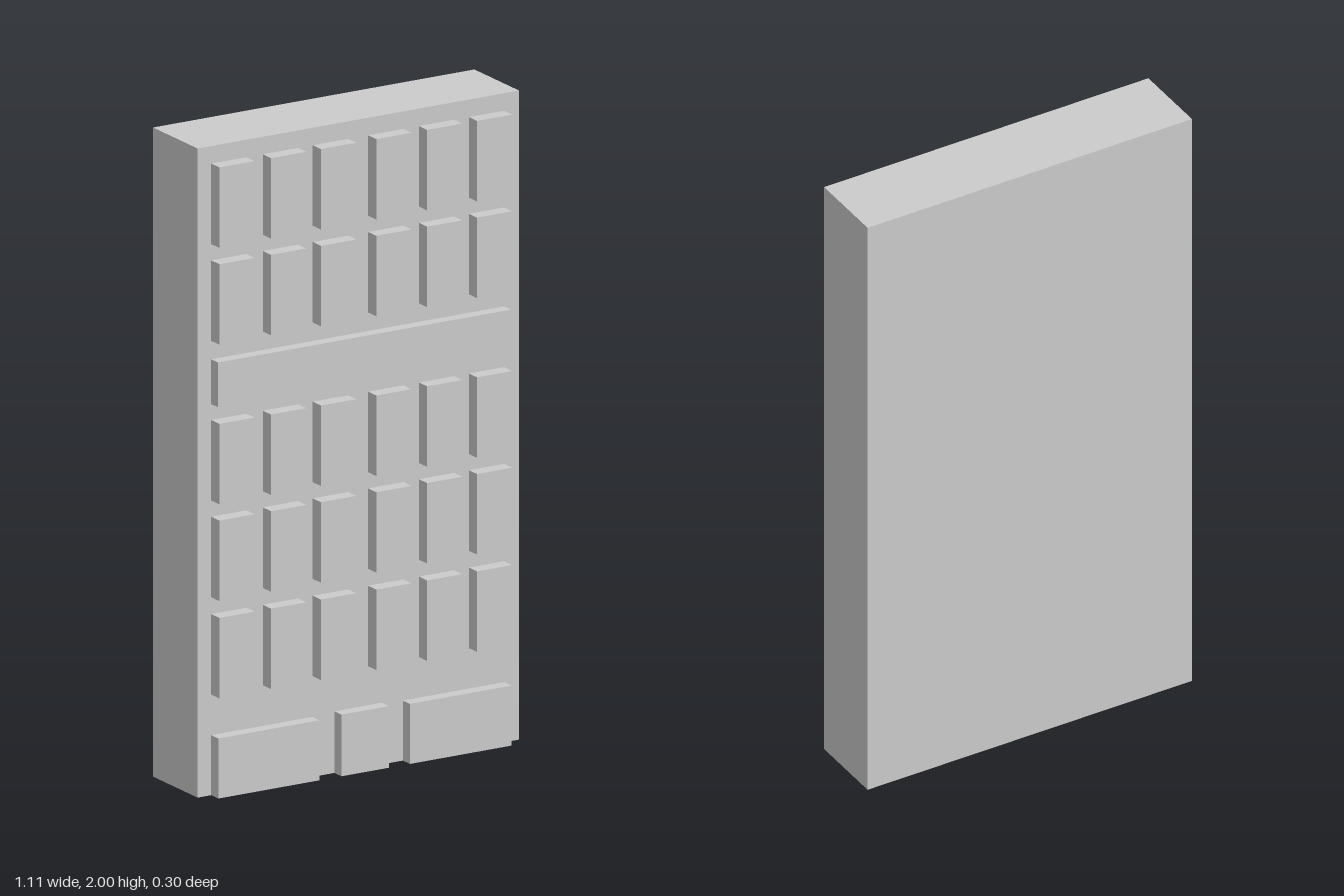
import * as THREE from 'three';

const BACK = -0.148, WALL = 0.102;

export function createModel() {
  const group = new THREE.Group();
  const material = new THREE.MeshStandardMaterial({ color: 0xcccccc, flatShading: true });

  // Box given by its extents along each axis
  function block(name, x0, x1, y0, y1, z0, z1) {
    const mesh = new THREE.Mesh(new THREE.BoxGeometry(x1 - x0, y1 - y0, z1 - z0), material);
    mesh.position.set((x0 + x1) / 2, (y0 + y1) / 2, (z0 + z1) / 2);
    mesh.name = name;
    group.add(mesh);
  }

  // Main slab of the building
  block('buildingBody', -0.558, 0.556, 0, 2, BACK, WALL);

  // Five floors of six raised windows
  const columns = [-0.45, -0.271, -0.098, 0.094, 0.27, 0.443];
  const floors = [0.31, 0.61, 0.908, 1.4, 1.698];
  floors.forEach((y, row) => columns.forEach((x, col) =>
    block(`window_${row + 1}_${col + 1}`, x - 0.061, x + 0.061, y, y + 0.248, WALL, 0.148)));

  // Wide sign band between the floors
  block('signBand', -0.511, 0.505, 1.205, 1.343, WALL, 0.14);

  // Ground floor: two shop windows and a central door
  block('shopWindowRight', -0.511, -0.161, 0, 0.185, WALL, 0.142);
  block('door', -0.084, 0.08, 0, 0.19, WALL, 0.142);
  block('shopWindowLeft', 0.153, 0.505, 0, 0.185, WALL, 0.142);

  return group;
}
